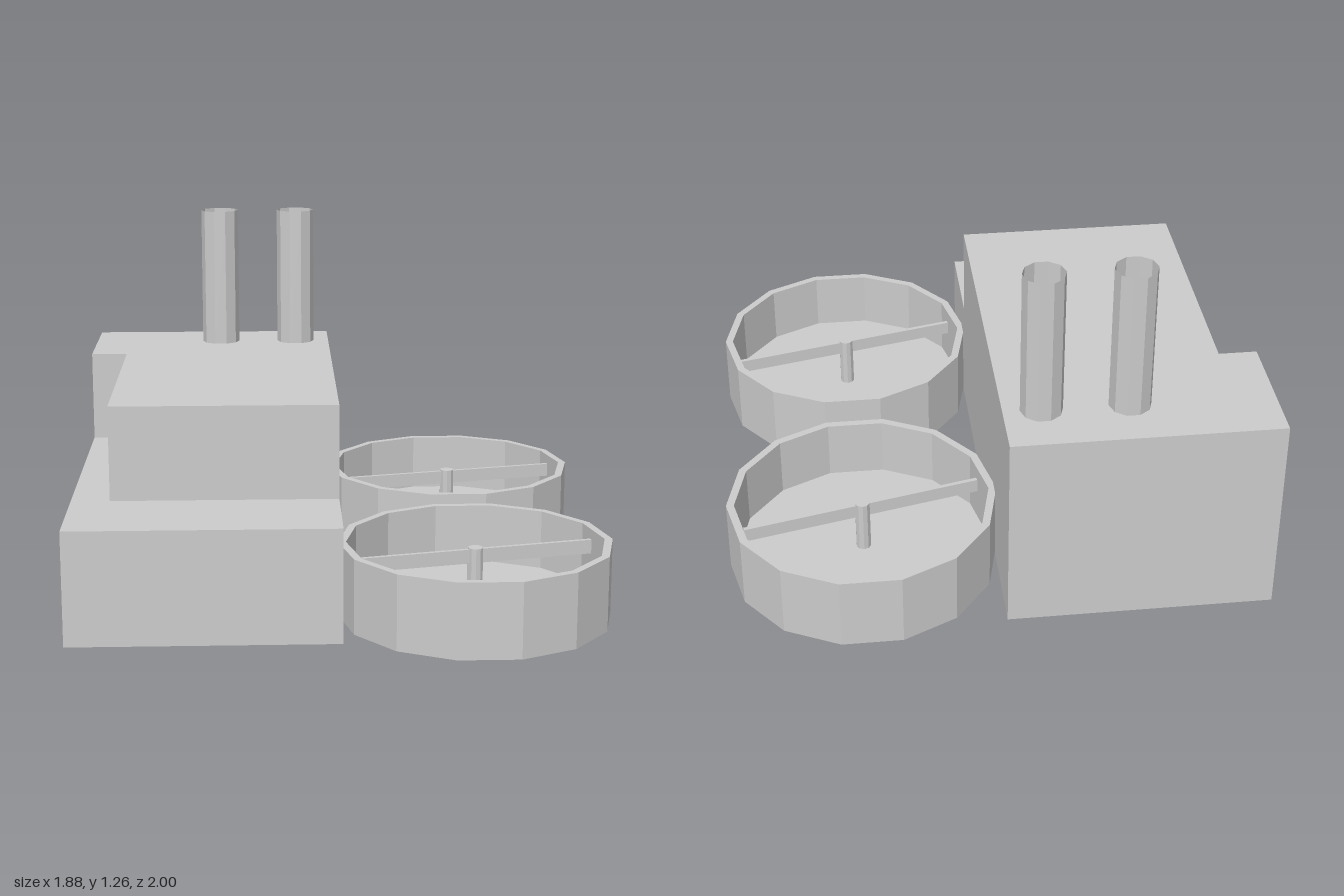
import * as THREE from 'three';

const solid = new THREE.MeshStandardMaterial({ color: 0xcccccc, flatShading: true });
const thin = new THREE.MeshStandardMaterial({ color: 0xcccccc, flatShading: true, side: THREE.DoubleSide });

function add(parent, name, geometry, x, y, z, material = solid) {
  const mesh = new THREE.Mesh(geometry, material);
  mesh.name = name;
  mesh.position.set(x, y, z);
  parent.add(mesh);
  return mesh;
}

// Vertical prism from a floor plan given as [x, z] corners
function prism(plan, height) {
  const shape = new THREE.Shape(plan.map(([x, z]) => new THREE.Vector2(x, -z)));
  return new THREE.ExtrudeGeometry(shape, { depth: height, bevelEnabled: false }).rotateX(-Math.PI / 2);
}

// Round 14-sided basin with a rim, floor, centre post and scraper bar
function createTank() {
  const tank = new THREE.Group();
  tank.name = 'tank';
  const R = 0.478, r = 0.45, h = 0.265, floor = 0.05;
  const profile = [[0, 0], [R, 0], [R, h], [r, h], [r, floor], [0, floor]]
    .map(([x, y]) => new THREE.Vector2(x, y));
  add(tank, 'basin', new THREE.LatheGeometry(profile, 14, Math.PI / 2), 0, 0, 0);
  add(tank, 'centrePost', new THREE.CylinderGeometry(0.027, 0.027, 0.19, 10), 0, floor + 0.095, 0);
  const bar = add(tank, 'scraperBar', new THREE.BoxGeometry(0.86, 0.05, 0.015), 0, 0.21, 0);
  bar.rotation.y = 0.23;
  return tank;
}

export function createModel() {
  const model = new THREE.Group();
  model.name = 'treatmentPlant';

  // Building: wide lower storey and an L-shaped upper storey
  const left = -0.94, right = -0.01, back = -0.935, front = 0.83;
  const lowerTop = 0.4, roof = 0.735;
  add(model, 'lowerStorey',
    prism([[left, front], [right, front], [right, back], [left, back]], lowerTop), 0, 0, 0);
  add(model, 'upperStorey', prism([
    [left, back], [left, -0.47], [-0.805, -0.47], [-0.805, 0.465], [right, 0.465], [right, back],
  ], roof - lowerTop), 0, lowerTop, 0);

  // Open chimneys on the roof
  const chimneyHeight = 0.53;
  for (const x of [-0.442, -0.142]) {
    const pipe = new THREE.CylinderGeometry(0.073, 0.073, chimneyHeight, 10, 1, true, Math.PI / 2);
    add(model, 'chimney', pipe, x, roof + chimneyHeight / 2, -0.735, thin);
  }

  // Two basins beside the building
  for (const z of [-0.533, 0.533]) {
    const tank = createTank();
    tank.position.set(0.46, 0, z);
    model.add(tank);
  }
  return model;
}
